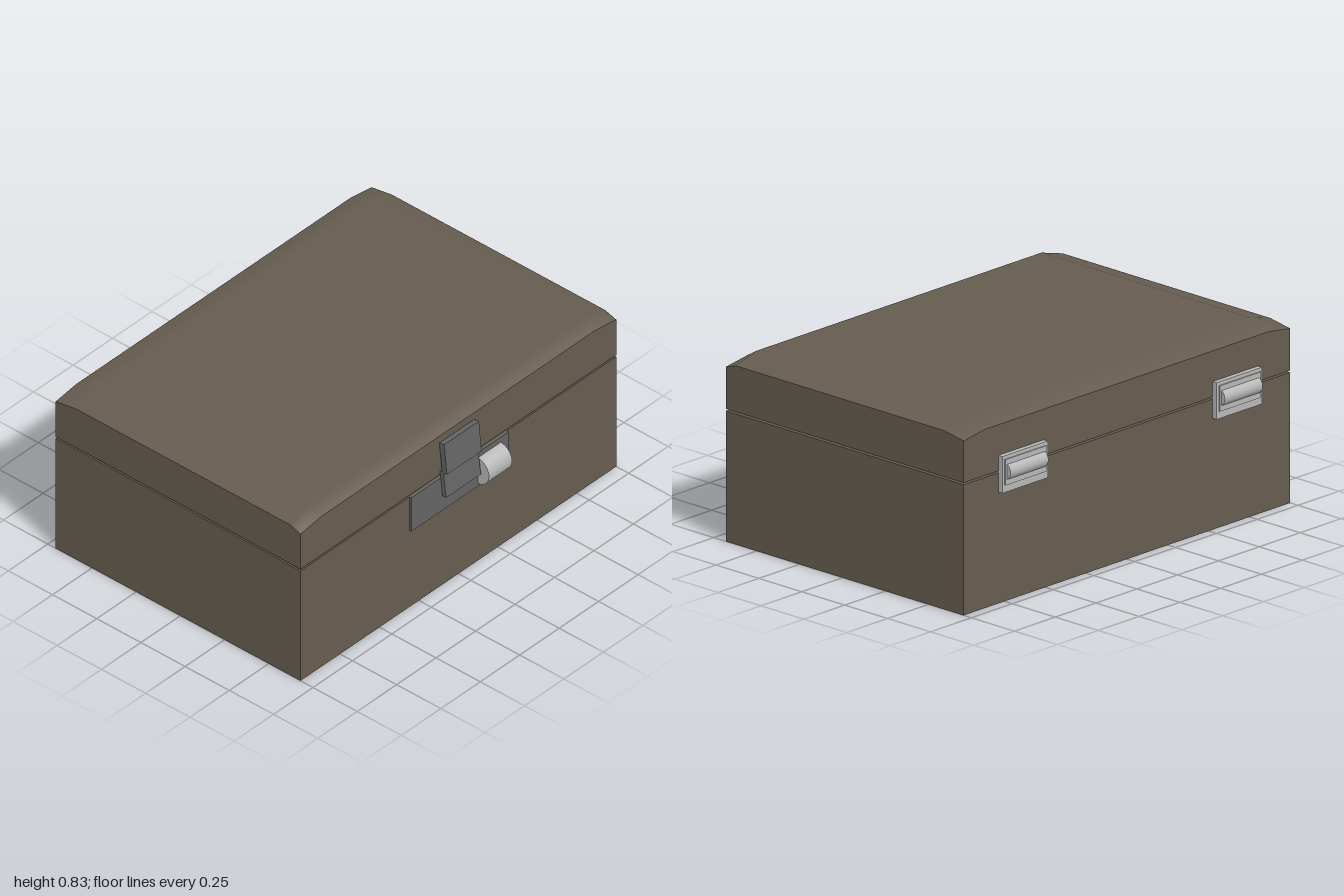
import * as THREE from 'three';

const BACK = -0.705, FRONT = 0.68;
const DEPTH = FRONT - BACK, MID = (FRONT + BACK) / 2;

const leather = new THREE.MeshStandardMaterial({ color: 0x665c50 });
const darkMetal = new THREE.MeshStandardMaterial({ color: 0x646464 });
const metal = new THREE.MeshStandardMaterial({ color: 0xb8b8b8 });

function add(parent, name, geometry, material) {
  const mesh = new THREE.Mesh(geometry, material);
  mesh.name = name;
  parent.add(mesh);
  return mesh;
}

// Box given by its two extreme corners
function boxBetween(x0, x1, y0, y1, z0, z1) {
  return new THREE.BoxGeometry(x1 - x0, y1 - y0, z1 - z0)
    .translate((x0 + x1) / 2, (y0 + y1) / 2, (z0 + z1) / 2);
}

// Cylinder lying along x
function barBetween(x0, x1, y, z, radius) {
  return new THREE.CylinderGeometry(radius, radius, x1 - x0, 32)
    .rotateZ(Math.PI / 2)
    .translate((x0 + x1) / 2, y, z);
}

// Lid: a 3 x 3 grid whose rim slopes down, lowest at the corners
function lidGeometry() {
  const xs = [-1, -0.87, 0.87, 1];
  const zs = [BACK, -0.59, 0.62, FRONT];
  const heights = [0.834, 0.798, 0.779]; // centre, edge, corner
  const geometry = new THREE.BoxGeometry(3, 1, 3, 3, 1, 3);
  const p = geometry.attributes.position;
  for (let i = 0; i < p.count; i++) {
    const a = Math.round(p.getX(i) + 1.5);
    const b = Math.round(p.getZ(i) + 1.5);
    const rim = (a % 3 === 0 ? 1 : 0) + (b % 3 === 0 ? 1 : 0);
    p.setXYZ(i, xs[a], p.getY(i) > 0 ? heights[rim] : 0.592, zs[b]);
  }
  geometry.computeVertexNormals();
  return geometry;
}

// Side profile [z, y] extruded along x
function profileAlongX(points, x0, x1) {
  const shape = new THREE.Shape(points.map(([z, y]) => new THREE.Vector2(-z, y)));
  return new THREE.ExtrudeGeometry(shape, { depth: x1 - x0, bevelEnabled: false })
    .rotateY(Math.PI / 2)
    .translate(x0, 0, 0);
}

export function createModel() {
  const model = new THREE.Group();
  model.name = 'case';

  add(model, 'body', new THREE.BoxGeometry(2, 0.583, DEPTH).translate(0, 0.2915, MID), leather);
  add(model, 'lid', lidGeometry(), leather);

  // Front latch: back plate, two folded flaps and a round knob
  const latch = new THREE.Group();
  latch.name = 'latch';
  model.add(latch);
  add(latch, 'latchPlate', boxBetween(-0.31, 0.305, 0.405, 0.583, 0.67, 0.69), darkMetal);
  add(latch, 'upperFlap', profileAlongX(
    [[0.679, 0.762], [0.707, 0.766], [0.722, 0.614], [0.695, 0.612]], -0.12, 0.1), darkMetal);
  add(latch, 'lowerFlap', profileAlongX(
    [[0.682, 0.615], [0.702, 0.615], [0.718, 0.49], [0.697, 0.49]], -0.12, 0.1), darkMetal);
  add(latch, 'latchKnob', barBetween(0.112, 0.258, 0.488, 0.684, 0.069), metal);

  // Back hinges: stepped plate with a pin barrel
  for (const x of [-0.664, 0.648]) {
    const hinge = new THREE.Group();
    hinge.name = x > 0 ? 'leftHinge' : 'rightHinge';
    model.add(hinge);
    add(hinge, 'hingePlate', boxBetween(x - 0.139, x + 0.139, 0.497, 0.661, -0.728, -0.7), metal);
    add(hinge, 'hingeInset', boxBetween(x - 0.125, x + 0.125, 0.53, 0.645, -0.734, -0.7), metal);
    add(hinge, 'hingeBarrel', barBetween(x - 0.116, x + 0.116, 0.588, -0.715, 0.039), metal);
  }

  return model;
}
